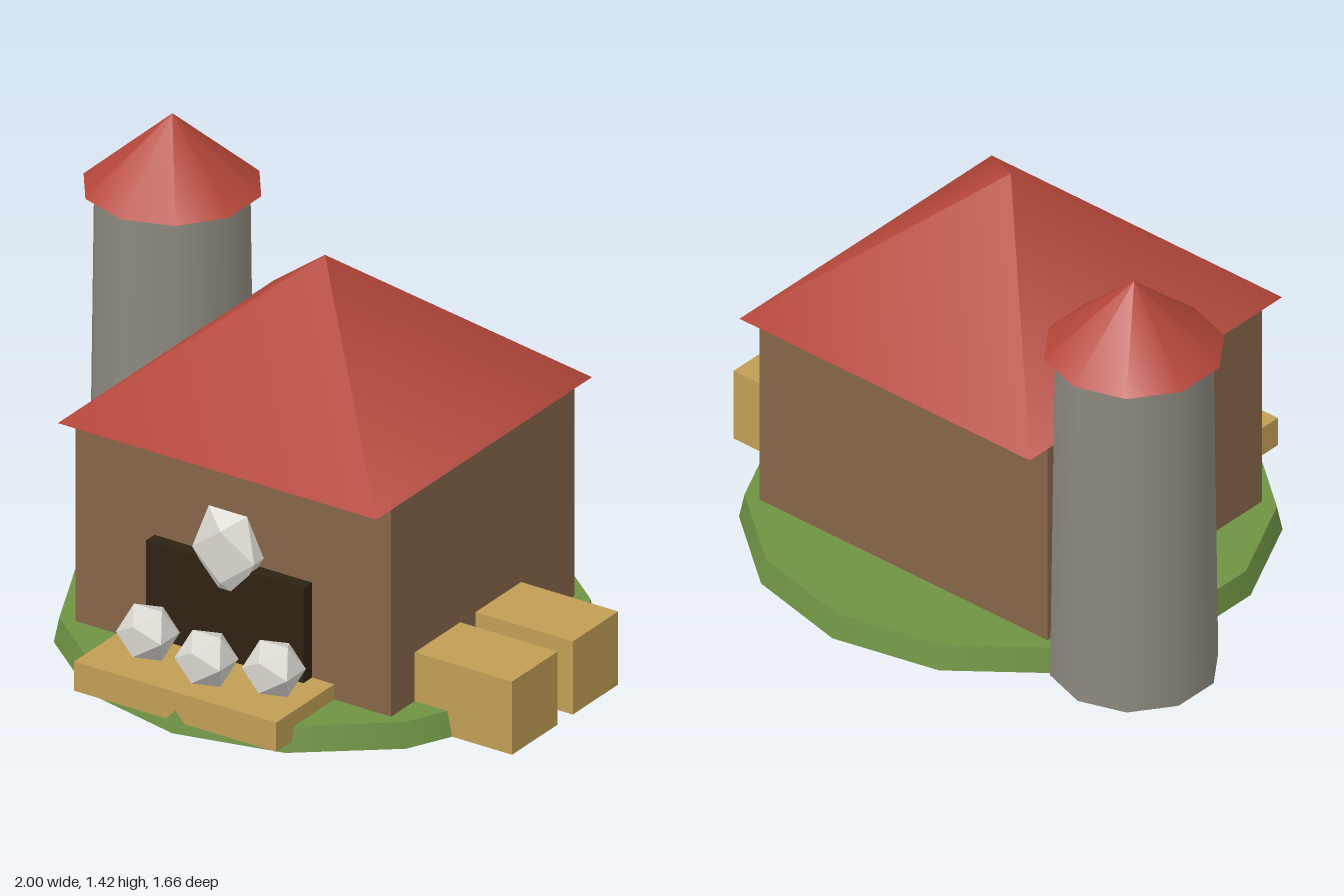
import * as THREE from 'three';

const material = (name, color, flatShading = false) => {
  const m = new THREE.MeshStandardMaterial({ color, flatShading });
  m.name = name;
  return m;
};

export function createModel() {
  const group = new THREE.Group();
  const CX = 0.058; // centre line of the barn

  const grass = material('grass green', 0x6f9344);
  const wood = material('barn brown', 0x856548);
  const red = material('roof red', 0xb5463a);
  const grey = material('silo grey', 0x8d897e);
  const straw = material('straw', 0xc09e55);
  const dark = material('dark wood', 0x2e2212);
  const bone = material('pale stone', 0xd9d6cf, true);

  const add = (name, geometry, mat, x, y, z) => {
    const mesh = new THREE.Mesh(geometry, mat);
    mesh.name = name;
    mesh.position.set(x, y, z);
    group.add(mesh);
    return mesh;
  };
  // Box given by its lower and upper corners
  const box = (name, mat, [x0, y0, z0], [x1, y1, z1]) =>
    add(name, new THREE.BoxGeometry(x1 - x0, y1 - y0, z1 - z0), mat,
      (x0 + x1) / 2, (y0 + y1) / 2, (z0 + z1) / 2);

  // Grassy base
  add('ground', new THREE.CylinderGeometry(0.815, 0.832, 0.083, 14), grass, CX, 0.0415, 0);

  // Barn with a pyramid roof
  box('barnWalls', wood, [CX - 0.583, 0, -0.5], [CX + 0.583, 0.8, 0.5]);
  const roof = add('barnRoof', new THREE.ConeGeometry(0.832, 0.497, 4), red, CX, 1.0435, 0);
  roof.rotation.y = Math.PI / 4;

  // Silo with a conical cap
  add('silo', new THREE.CylinderGeometry(0.249, 0.264, 1.172, 10), grey, -0.731, 0.586, -0.333);
  add('siloRoof', new THREE.ConeGeometry(0.283, 0.245, 10), red, -0.731, 1.2945, -0.333);

  // Door and the low platform before it
  box('door', dark, [CX - 0.291, 0.06, 0.46], [CX + 0.291, 0.46, 0.547]);
  box('platform', straw, [CX - 0.373, 0.035, 0.5], [CX + 0.373, 0.135, 0.817]);

  // Straw bales against the side wall
  for (const z of [0.247, -0.085]) {
    box('strawBale', straw, [0.6, 0, z - 0.124], [1, 0.25, z + 0.124]);
  }

  // Round stones on the platform
  for (const [x, z] of [[-0.149, 0.66], [0.1, 0.708], [0.309, 0.649]]) {
    add('stone', new THREE.IcosahedronGeometry(0.098, 0), bone, x, 0.217, z);
  }

  // Tall stone over the door, narrowed toward its foot
  const tall = new THREE.IcosahedronGeometry(1, 0);
  tall.scale(0.135, 0.167, 0.05);
  const p = tall.attributes.position;
  for (let i = 0; i < p.count; i++) {
    if (p.getY(i) < -0.12) p.setX(i, p.getX(i) * 0.55);
  }
  tall.computeVertexNormals();
  add('doorStone', tall, bone, CX, 0.493, 0.529);

  return group;
}
